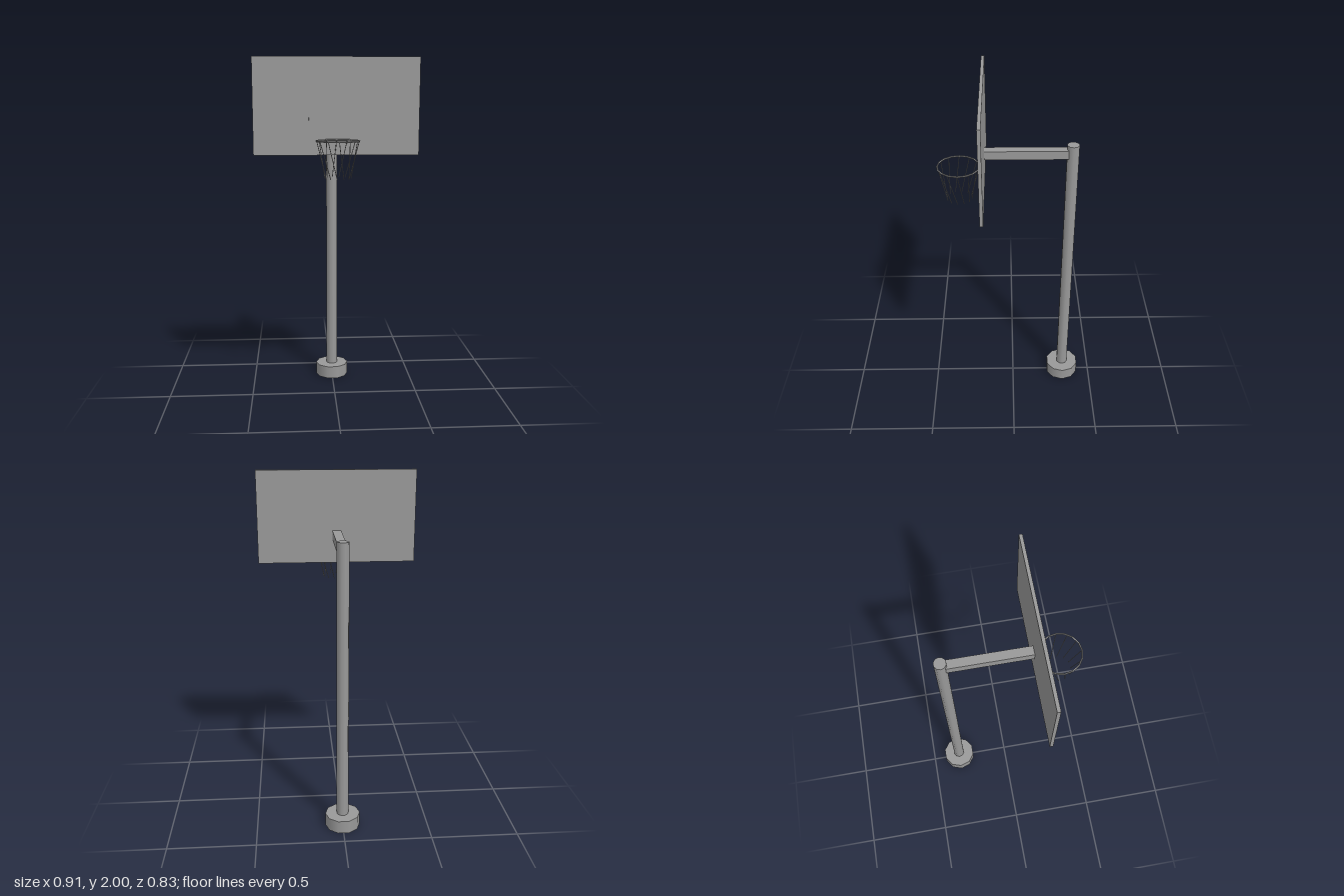
import * as THREE from 'three';

export function createModel() {
  const model = new THREE.Group();
  const grey = new THREE.MeshStandardMaterial({ color: 0x999999 });
  grey.name = 'plain grey';

  const add = (name, geometry, x, y, z, parent = model) => {
    const mesh = new THREE.Mesh(geometry, grey);
    mesh.name = name;
    mesh.position.set(x, y, z);
    parent.add(mesh);
    return mesh;
  };

  // Ten-sided base and post, corners on the x axis
  const postZ = -0.323;
  const column = (name, radius, bottom, top) => {
    const geometry = new THREE.CylinderGeometry(radius, radius, top - bottom, 10);
    geometry.rotateY(Math.PI / 2);
    add(name, geometry, 0, (bottom + top) / 2, postZ);
  };
  column('base', 0.101, 0, 0.077);
  column('post', 0.034, 0.077, 1.681);

  // Arm, backboard and raised target panel
  add('arm', new THREE.BoxGeometry(0.051, 0.05, 0.455), 0, 1.631, -0.071);
  add('backboard', new THREE.BoxGeometry(0.914, 0.53, 0.018), 0, 1.735, 0.162);
  add('targetPanel', new THREE.BoxGeometry(0.304, 0.23, 0.006), 0, 1.665, 0.173);

  // Hoop
  const rimY = 1.555, rimZ = 0.296, rimRadius = 0.115;
  const rim = new THREE.TorusGeometry(rimRadius, 0.0045, 6, 16);
  rim.rotateX(Math.PI / 2);
  add('rim', rim, 0, rimY, rimZ);

  // Net: slanting strings that twist inwards as they fall
  const net = new THREE.Group();
  net.name = 'net';
  model.add(net);
  const ringPoint = (radius, angle, y) =>
    new THREE.Vector3(radius * Math.sin(angle), y, rimZ + radius * Math.cos(angle));
  const up = new THREE.Vector3(0, 1, 0);
  for (let i = 0; i < 12; i++) {
    const angle = (i / 12) * Math.PI * 2;
    const top = ringPoint(0.114, angle, rimY);
    const bottom = ringPoint(0.07, angle + 0.4, 1.355);
    const along = top.clone().sub(bottom);
    const middle = top.clone().add(bottom).multiplyScalar(0.5);
    const string = add('netString', new THREE.CylinderGeometry(0.002, 0.002, along.length(), 5),
      middle.x, middle.y, middle.z, net);
    string.quaternion.setFromUnitVectors(up, along.normalize());
  }

  return model;
}
